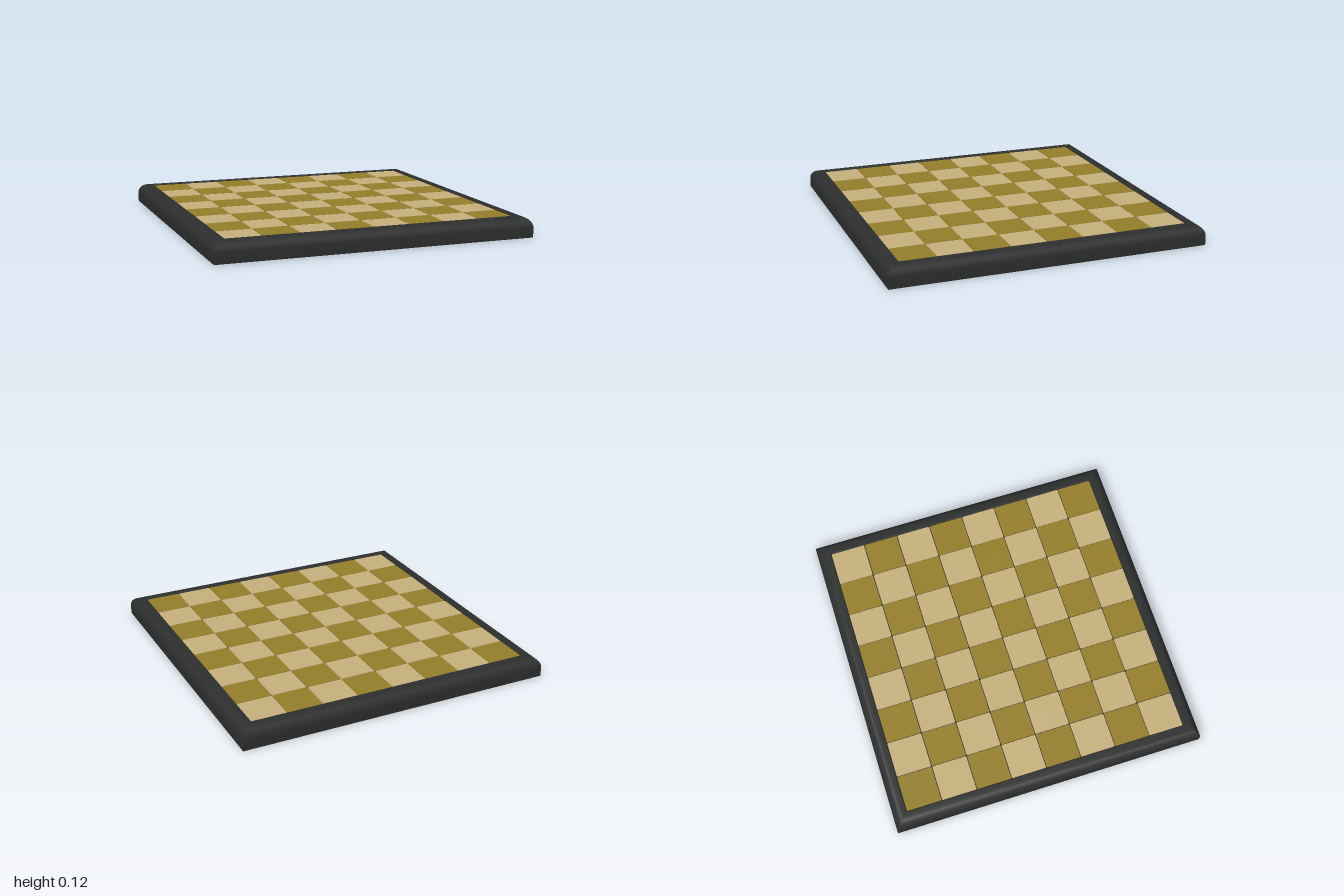
import * as THREE from 'three';
import { toCreasedNormals } from 'three/addons/utils/BufferGeometryUtils.js';

const HEIGHT = 0.125;
const ROUND = 0.065;
const INNER = 0.91; // half-width of the playing field
const CELLS = 8;

function material(name, color) {
  const m = new THREE.MeshStandardMaterial({ color });
  m.name = name;
  return m;
}

// Square tray: a half-width / height profile swept around four mitred sides
function frameGeometry() {
  const profile = [[0, 0], [1, 0]];
  for (let i = 0; i <= 8; i++) {
    const a = (i / 8) * Math.PI / 2;
    profile.push([1 - ROUND + ROUND * Math.cos(a), HEIGHT - ROUND + ROUND * Math.sin(a)]);
  }
  profile.push([INNER + 0.004, HEIGHT], [INNER, HEIGHT - 0.004], [INNER, 0.108], [0, 0.108]);
  const points = profile.map(([r, y]) => new THREE.Vector2(r * Math.SQRT2, y));
  return toCreasedNormals(new THREE.LatheGeometry(points, 4, Math.PI / 4), 0.6);
}

// Thin tile with slightly rounded corners, lying flat with its base at y = 0
function tileGeometry(size, thickness) {
  const h = size / 2, r = 0.006;
  const s = new THREE.Shape();
  s.absarc(h - r, h - r, r, 0, Math.PI / 2);
  s.absarc(r - h, h - r, r, Math.PI / 2, Math.PI);
  s.absarc(r - h, r - h, r, Math.PI, Math.PI * 1.5);
  s.absarc(h - r, r - h, r, Math.PI * 1.5, Math.PI * 2);
  const g = new THREE.ExtrudeGeometry(s, { depth: thickness, bevelEnabled: false, curveSegments: 3 });
  return g.rotateX(-Math.PI / 2);
}

export function createModel() {
  const model = new THREE.Group();
  model.name = 'checkeredBoard';

  const black = material('frameBlack', 0x2d2e2e);
  const light = material('lightWood', 0xc8b27d);
  const dark = material('darkWood', 0x967f2a);

  const frame = new THREE.Mesh(frameGeometry(), black);
  frame.name = 'frame';
  model.add(frame);

  // Alternating tiles separated by narrow grooves
  const cell = (2 * INNER) / CELLS;
  const tile = tileGeometry(cell - 0.005, 0.0095);
  const squares = new THREE.Group();
  squares.name = 'squares';
  for (let row = 0; row < CELLS; row++) {
    for (let col = 0; col < CELLS; col++) {
      const isDark = (row + col) % 2 === 0;
      const mesh = new THREE.Mesh(tile, isDark ? dark : light);
      mesh.name = isDark ? 'darkSquare' : 'lightSquare';
      mesh.position.set((col + 0.5) * cell - INNER, 0.1085, (row + 0.5) * cell - INNER);
      squares.add(mesh);
    }
  }
  model.add(squares);
  return model;
}
